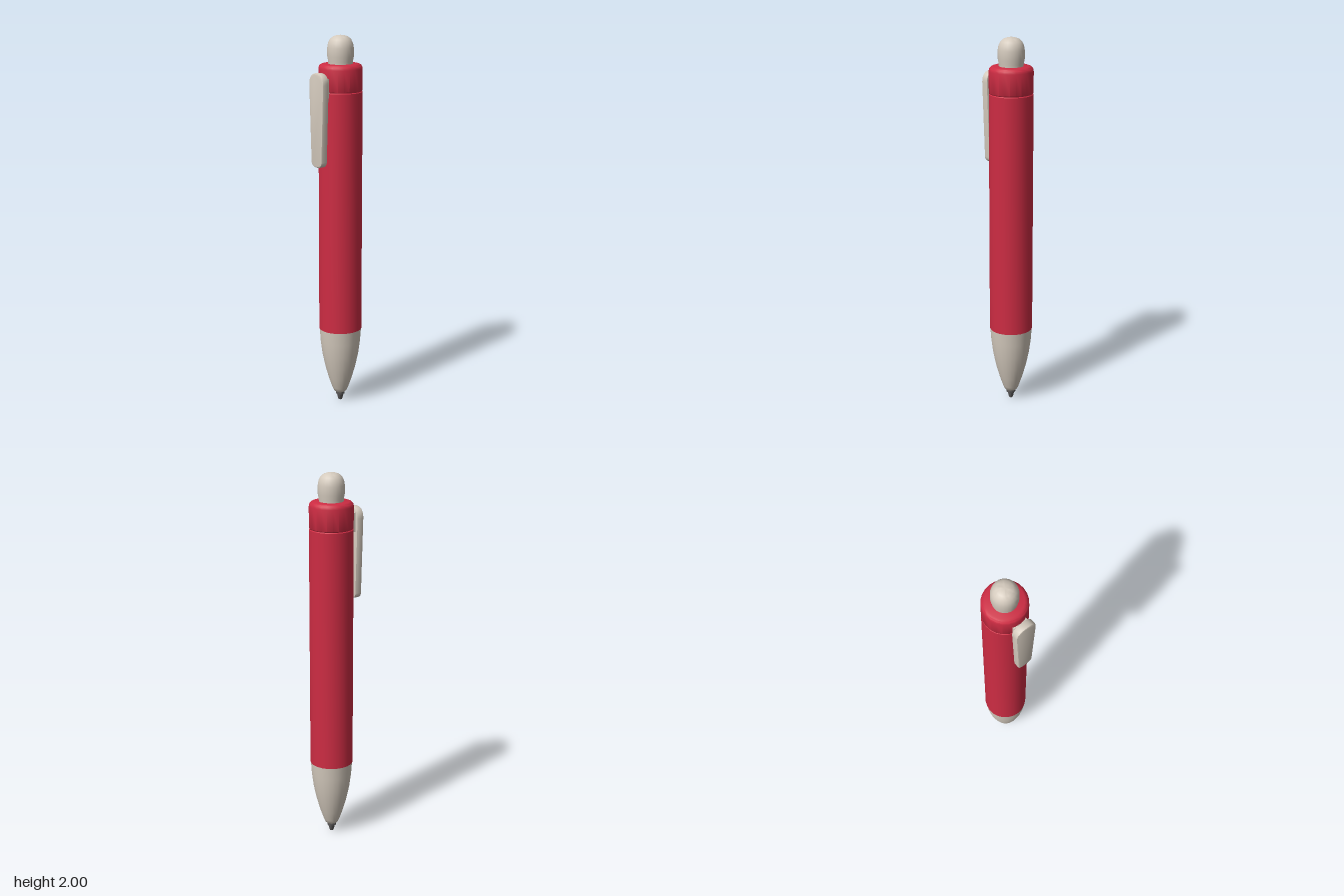
import * as THREE from 'three';
import { toCreasedNormals } from 'three/addons/utils/BufferGeometryUtils.js';

const AXIS_Z = -0.024; // the barrel sits behind centre to leave room for the clip
const CREASE = 0.7;

export function createModel() {
  const red = new THREE.MeshStandardMaterial({ color: 0xcd2c43 });
  red.name = 'red plastic';
  const cream = new THREE.MeshStandardMaterial({ color: 0xd5cbbe });
  cream.name = 'cream plastic';
  const metal = new THREE.MeshStandardMaterial({ color: 0x5c5a5a });
  metal.name = 'dark metal';

  const pen = new THREE.Group();
  pen.name = 'pen';

  const add = (name, geometry, material, z = 0) => {
    const mesh = new THREE.Mesh(toCreasedNormals(geometry, CREASE), material);
    mesh.name = name;
    mesh.position.z = z;
    pen.add(mesh);
  };

  // Turned parts: profiles are [radius, height] from bottom to top
  const turn = (name, profile, material) => {
    const points = profile.map(([r, y]) => new THREE.Vector2(r, y));
    add(name, new THREE.LatheGeometry(points, 24), material, AXIS_Z);
  };

  turn('writingPoint', [
    [0, 0], [0.009, 0.002], [0.013, 0.012], [0.018, 0.034], [0.024, 0.037], [0.025, 0.06], [0, 0.06],
  ], metal);

  turn('noseCone', [
    [0, 0.05], [0.026, 0.05], [0.035, 0.058], [0.043, 0.075], [0.062, 0.13], [0.082, 0.2],
    [0.098, 0.275], [0.108, 0.35], [0.113, 0.42], [0, 0.42],
  ], cream);

  turn('barrel', [
    [0, 0.42], [0.115, 0.42], [0.115, 1.708], [0.111, 1.712], [0, 1.712],
  ], red);

  turn('cap', [
    [0, 1.712], [0.111, 1.712], [0.115, 1.717], [0.115, 1.828], [0.112, 1.841],
    [0.105, 1.849], [0.094, 1.853], [0, 1.853],
  ], red);

  turn('pushButton', [
    [0, 1.84], [0.063, 1.84], [0.064, 1.865], [0.069, 1.89], [0.069, 1.935], [0.065, 1.958],
    [0.055, 1.978], [0.04, 1.991], [0.02, 1.998], [0, 2],
  ], cream);

  // Clip: a tapered plate with rounded ends and softened edges
  const plate = new THREE.Shape();
  plate.moveTo(-0.043, 1.355);
  plate.quadraticCurveTo(-0.041, 1.325, 0, 1.325);
  plate.quadraticCurveTo(0.041, 1.325, 0.043, 1.355);
  plate.lineTo(0.059, 1.755);
  plate.bezierCurveTo(0.06, 1.79, 0.04, 1.815, 0, 1.815);
  plate.bezierCurveTo(-0.04, 1.815, -0.06, 1.79, -0.059, 1.755);
  plate.closePath();
  const bevel = 0.007;
  add('clip', new THREE.ExtrudeGeometry(plate, {
    depth: 0.04 - 2 * bevel, curveSegments: 8,
    bevelThickness: bevel, bevelSize: bevel, bevelOffset: -bevel, bevelSegments: 2,
  }), cream, 0.098 + bevel);

  // Short bridge joining the clip to the barrel
  const bridge = new THREE.BoxGeometry(0.08, 0.1, 0.04);
  bridge.translate(0, 1.735, 0.085);
  add('clipMount', bridge, cream);

  return pen;
}
